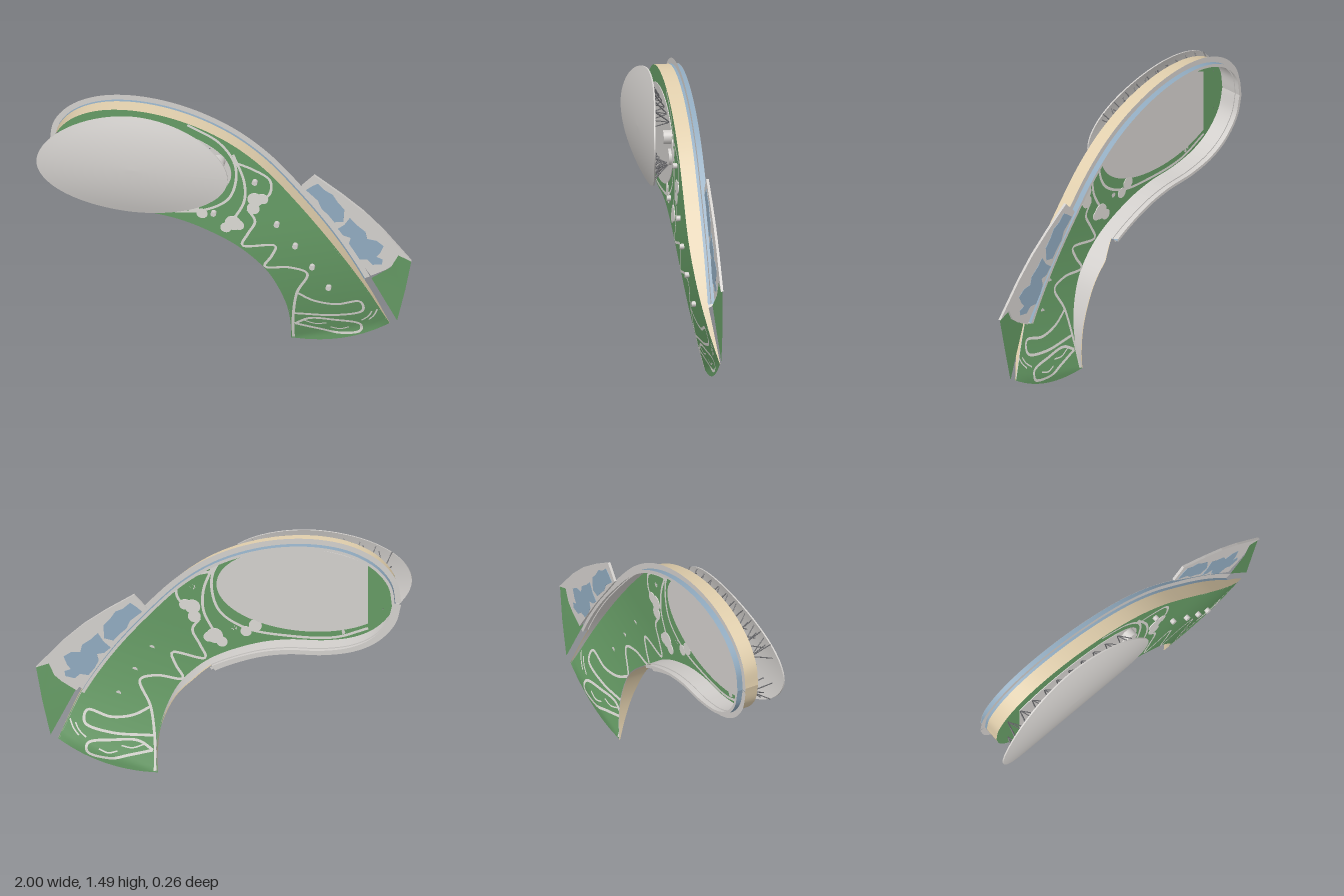
import * as THREE from 'three';

const mat = (name, color) => new THREE.MeshStandardMaterial({ name, color, side: THREE.DoubleSide });
const M = {
  grass: mat('grass green', 0x659a64),
  concrete: mat('light grey', 0xd2cfcc),
  path: mat('path grey', 0xdad8d3),
  tan: mat('sandstone', 0xe0ceac),
  blue: mat('glass blue', 0x90aabf),
  steel: mat('dark steel', 0x68686b),
};
const V2 = (p) => new THREE.Vector2(p[0], p[1]);
const curve = (pts) => new THREE.CatmullRomCurve3(pts.map((p) => new THREE.Vector3(p[0], p[1], 0)), false, 'centripetal');

// Plan outline of the building: outer and inner sides, both from the round head to the tail
const outer = curve([[-0.94, 1.13], [-0.92, 1.25], [-0.84, 1.355], [-0.7, 1.43], [-0.5, 1.46], [-0.25, 1.43],
  [0, 1.335], [0.2, 1.195], [0.4, 0.98], [0.6, 0.72], [0.76, 0.45], [0.88, 0.17]]);
const inner = curve([[-0.94, 1.13], [-0.91, 1.015], [-0.825, 0.91], [-0.71, 0.845], [-0.55, 0.81], [-0.35, 0.8],
  [-0.18, 0.765], [0.05, 0.665], [0.17, 0.57], [0.25, 0.47], [0.325, 0.28], [0.345, 0.12], [0.34, 0]]);

// The roof is level at the head and curves down to the ground at the tail
function roofZ(x, y) {
  const d = Math.min(0.8, Math.max(0, -0.3 * (x - 0.34) + 0.954 * y));
  return -0.126 * (1 - d / 0.8) ** 2;
}

// Surface from a rule (u, v) -> [x, y, z]
function sheet(name, material, nu, nv, fn) {
  const pos = [], idx = [];
  for (let i = 0; i <= nu; i++) for (let j = 0; j <= nv; j++) {
    pos.push(...fn(i / nu, j / nv));
    if (i < nu && j < nv) {
      const a = i * (nv + 1) + j, b = a + nv + 1;
      idx.push(a, b, a + 1, b, b + 1, a + 1);
    }
  }
  const g = new THREE.BufferGeometry();
  g.setAttribute('position', new THREE.Float32BufferAttribute(pos, 3));
  g.setIndex(idx);
  g.computeVertexNormals();
  const m = new THREE.Mesh(g, material);
  m.name = name;
  return m;
}

function plate(name, material, shape, z, depth) {
  const m = new THREE.Mesh(new THREE.ExtrudeGeometry(shape, { depth, bevelEnabled: false, curveSegments: 48 }), material);
  m.name = name;
  m.position.z = z;
  return m;
}

// Flat ribbon that follows the roof, one on each face
function ribbon(pts, w = 0.015) {
  const c = curve(pts), g = new THREE.Group();
  g.name = 'gardenPath';
  for (const off of [0.003, -0.003]) {
    g.add(sheet('pathSurface', M.path, pts.length * 8, 1, (u, v) => {
      const p = c.getPointAt(u), t = c.getTangentAt(u), k = (v - 0.5) * w;
      const x = p.x - t.y * k, y = p.y + t.x * k;
      return [x, y, roofZ(x, y) + off];
    }));
  }
  return g;
}

function strut(a, b, r) {
  const A = new THREE.Vector3(...a), B = new THREE.Vector3(...b), d = B.clone().sub(A);
  const m = new THREE.Mesh(new THREE.CylinderGeometry(r, r, d.length(), 6), M.steel);
  m.position.copy(A).add(B).multiplyScalar(0.5);
  m.quaternion.setFromUnitVectors(new THREE.Vector3(0, 1, 0), d.normalize());
  m.name = 'strut';
  return m;
}

function post(name, x, y, r, h) {
  const m = new THREE.Mesh(new THREE.CylinderGeometry(r, r, h, 24), M.concrete);
  m.rotation.x = Math.PI / 2;
  m.position.set(x, y, roofZ(x, y) + h / 2);
  m.name = name;
  return m;
}

// Walls, grey lining, window band and ledges along one side
function facade(c, side, uEnd) {
  const g = new THREE.Group();
  g.name = side > 0 ? 'outerFacade' : 'innerFacade';
  const low = (u) => (u <= uEnd ? -0.08 : -0.08 - 0.048 * Math.min(1, (u - uEnd) / (1 - uEnd) * (side > 0 ? 1 : 6)));
  // Point at u, moved outward by k
  const at = (u, k, z) => {
    const p = c.getPointAt(u), t = c.getTangentAt(u);
    return [p.x - t.y * k * side, p.y + t.x * k * side, z];
  };
  const wall = (name, material, k, bottom) => sheet(name, material, 120, 1, (u, v) => {
    const p = c.getPointAt(u), top = roofZ(p.x, p.y);
    return at(u, k, top + (Math.min(top, bottom(u)) - top) * v);
  });
  g.add(wall('stoneWall', M.tan, 0, low));
  g.add(wall('wallLining', M.concrete, -0.006, (u) => Math.min(low(u), u <= uEnd ? -0.129 : 0)));
  g.add(sheet('windowBand', M.blue, 90, 1, (u, v) => at(u * uEnd, 0, -0.08 - 0.049 * v)));
  const ledge = (name, z, a, b) => sheet(name, M.concrete, 90, 1, (u, v) => at(u * uEnd, a + (b - a) * v, z));
  g.add(ledge('ledge', -0.095, -0.012, 0.032), ledge('baseRing', -0.129, -0.014, 0.003));
  return g;
}

export function createModel() {
  const model = new THREE.Group();
  model.name = 'pavilion';

  // Green roof lofted between the two sides, bulging at the tail
  model.add(sheet('greenRoof', M.grass, 110, 14, (u, v) => {
    const a = inner.getPointAt(u), b = outer.getPointAt(u);
    const k = 0.05 * 4 * v * (1 - v) * Math.max(0, (u - 0.75) / 0.25) ** 2;
    const x = a.x + (b.x - a.x) * v + 0.3 * k, y = Math.max(0, a.y + (b.y - a.y) * v - 0.95 * k);
    return [x, y, roofZ(x, y)];
  }));
  const findU = (c, test) => { let u = 0.3; while (u < 1 && !test(c.getPointAt(u))) u += 0.002; return u; };
  model.add(facade(outer, 1, findU(outer, (p) => p.y < 0.47 && p.x > 0)));
  model.add(facade(inner, -1, findU(inner, (p) => p.x > 0.05)));

  // Plaza under the canopy, cut straight at one end
  const plaza = new THREE.Shape();
  plaza.absellipse(-0.44, 1.12, 0.48, 0.255, -2.355, 2.355, false);
  model.add(plate('plaza', M.concrete, plaza, -0.004, 0.008));

  // Garden paths and small squares
  [
    [[0.355, 0.01], [0.36, 0.15], [0.39, 0.36], [0.45, 0.51], [0.36, 0.54], [0.22, 0.53], [0.26, 0.61], [0.28, 0.68], [0.1, 0.66], [0.13, 0.74], [0.17, 0.83], [0.13, 0.9]],
    [[0.05, 1.2], [0.15, 1.17], [0.25, 1.11], [0.25, 1.02], [0.18, 0.95]],
    [[-0.2, 1.41], [-0.03, 1.32], [0.055, 1.2], [0.065, 1.08], [0.02, 0.95], [-0.12, 0.86], [-0.35, 0.83], [-0.6, 0.84], [-0.78, 0.91]],
    [[0.05, 1.25], [0.11, 1.08], [0.11, 0.95], [0.05, 0.82]],
    [[0.39, 0.36], [0.48, 0.31], [0.6, 0.295], [0.73, 0.33], [0.74, 0.26], [0.6, 0.21], [0.37, 0.2]],
    [[0.37, 0.12], [0.45, 0.17], [0.58, 0.17], [0.72, 0.15], [0.72, 0.1], [0.6, 0.07], [0.5, 0.09], [0.37, 0.12]],
  ].forEach((p) => model.add(ribbon(p)));
  [
    [[0.77, 0.19], [0.8, 0.23], [0.82, 0.28]], [[0.73, 0.18], [0.77, 0.22], [0.79, 0.26]],
    [[0.42, 0.15], [0.48, 0.13], [0.54, 0.14]], [[0.56, 0.11], [0.61, 0.1], [0.66, 0.12]],
  ].forEach((p) => model.add(ribbon(p, 0.008)));
  [[0.16, 0.91, 0.035], [0.17, 0.97, 0.042], [0.21, 0.98, 0.032], [0.05, 0.8, 0.045], [0.01, 0.765, 0.03], [0.08, 0.79, 0.03],
    [-0.17, 0.88, 0.035], [-0.12, 0.84, 0.03]].forEach(([x, y, r]) => {
    const s = new THREE.Shape();
    s.absarc(x, y, r, 0, Math.PI * 2);
    model.add(plate('gardenSquare', M.path, s, roofZ(x, y) - 0.004, 0.008));
  });

  // Bollard lights and roof cores
  [[0.17, 1.09], [0.29, 0.83], [0.39, 0.7], [0.48, 0.565], [0.565, 0.425], [-0.055, 0.855]]
    .forEach(([x, y]) => model.add(post('bollard', x, y, 0.015, 0.022)));
  model.add(post('liftCore', -0.03, 1.2, 0.038, 0.047), post('stairCore', -0.63, 0.9, 0.042, 0.042));
  model.add(post('skylight', -0.03, 1.09, 0.045, 0.02));

  // Canopy: an oval arched across its short side
  const canopy = new THREE.Group();
  canopy.name = 'canopy';
  const canopyZ = (x, y) => 0.13 - 0.055 * ((y - 1.15) / 0.31) ** 2 - 0.026 * (x + 1) / 1.04;
  const oval = (u, r, off) => {
    const a = u * Math.PI * 2, f = (n) => Math.sign(n) * Math.abs(n) ** 1.06;
    const x = -0.48 + 0.52 * r * f(Math.cos(a)), y = 1.15 + 0.31 * r * f(Math.sin(a));
    return [x, y, canopyZ(x, y) - off];
  };
  canopy.add(sheet('canopyTop', M.concrete, 72, 8, (u, v) => oval(u, v, 0)));
  canopy.add(sheet('canopyUnderside', M.concrete, 72, 8, (u, v) => oval(u, v, 0.008)));
  canopy.add(sheet('canopyRim', M.concrete, 72, 1, (u, v) => oval(u, 1, 0.008 * v)));
  for (const s of [1, -1]) {
    for (let i = 0; i < 10; i++) {
      const x = -0.86 + i * 0.085, q = Math.sqrt(1 - ((x + 0.48) / 0.52) ** 2);
      const base = [x, 1.15 + s * 0.17 * q, 0];
      for (const [dx, k] of [[-0.035, 0.265], [0.035, 0.265], [-0.03, 0.12], [0.03, 0.2]]) {
        const tx = x + dx, ty = 1.15 + s * k * q;
        canopy.add(strut(base, [tx, ty, canopyZ(tx, ty) - 0.008], 0.003));
      }
    }
  }
  model.add(canopy);

  // Waterside deck with two pools
  const poly = (pts) => new THREE.Shape(pts.map(V2));
  model.add(plate('deck', M.concrete, poly([[0.4, 1.01], [0.47, 1.09], [0.62, 0.985], [0.74, 0.89], [0.85, 0.78],
    [1.0, 0.6], [0.93, 0.63], [0.9, 0.56], [0.86, 0.525], [0.78, 0.475], [0.6, 0.74]]), -0.127, 0.014));
  const pools = [
    [[0.425, 0.99], [0.46, 1.02], [0.49, 1.04], [0.53, 1.0], [0.57, 0.98], [0.6, 0.93], [0.635, 0.89], [0.63, 0.81], [0.58, 0.8],
      [0.55, 0.84], [0.51, 0.88], [0.49, 0.93]],
    [[0.595, 0.755], [0.635, 0.79], [0.665, 0.84], [0.7, 0.8], [0.75, 0.76], [0.76, 0.715], [0.81, 0.71], [0.85, 0.68], [0.83, 0.63],
      [0.81, 0.605], [0.845, 0.59], [0.84, 0.56], [0.79, 0.55], [0.76, 0.58], [0.715, 0.575], [0.68, 0.625], [0.66, 0.67], [0.67, 0.71], [0.63, 0.72]],
  ];
  for (const p of pools) for (const z of [-0.114, -0.129]) model.add(plate('pool', M.blue, poly(p), z, 0.003));

  // Grass bank sloping away from the deck
  const bank = [[0.92, 0.19, -0.128], [0.965, 0.4, -0.128], [1.0, 0.6, -0.122], [0.93, 0.63, -0.112], [0.89, 0.55, -0.108], [0.785, 0.47, -0.1]];
  const g = new THREE.BufferGeometry();
  g.setAttribute('position', new THREE.Float32BufferAttribute(bank.flat(), 3));
  g.setIndex([0, 1, 5, 1, 4, 5, 1, 3, 4, 1, 2, 3]);
  g.computeVertexNormals();
  const slope = new THREE.Mesh(g, M.grass);
  slope.name = 'grassBank';
  model.add(slope);
  return model;
}
